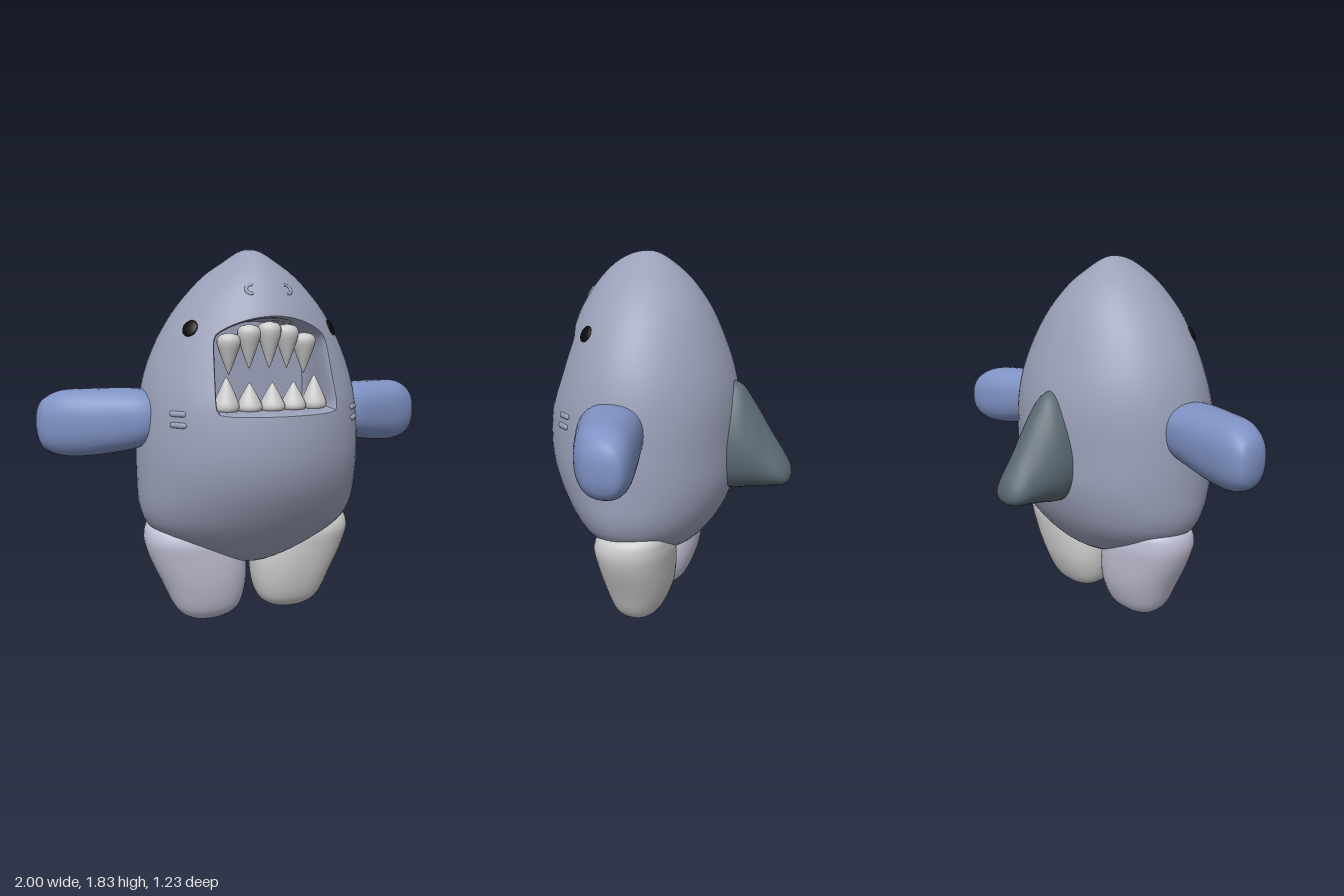
import * as THREE from 'three';
import { mergeVertices, toCreasedNormals } from 'three/addons/utils/BufferGeometryUtils.js';

const mat = (color) => new THREE.MeshStandardMaterial({ color, roughness: 0.7 });
const SKIN = mat(0x9ba1b9), BLUE = mat(0x7f92c4), DARK = mat(0x5a6873);
const GREY = mat(0xcccccc), PALE = mat(0xc4c4da), BLACK = mat(0x0a0a0a);

// Smooth interpolation of table rows at key k
function sample(table, keys, k) {
  const n = keys.length - 1;
  let i = 0;
  while (i < n - 1 && k > keys[i + 1]) i++;
  const h = keys[i + 1] - keys[i], t = THREE.MathUtils.clamp((k - keys[i]) / h, 0, 1);
  return table[i].map((_, c) => {
    const slope = (j) => {
      const a = Math.max(j - 1, 0), b = Math.min(j + 1, n);
      return (table[b][c] - table[a][c]) / (keys[b] - keys[a]);
    };
    const p = table[i][c], q = table[i + 1][c], t2 = t * t, t3 = t2 * t;
    return p * (2 * t3 - 3 * t2 + 1) + slope(i) * h * (t3 - 2 * t2 + t)
      + q * (3 * t2 - 2 * t3) + slope(i + 1) * h * (t3 - t2);
  });
}

// Joins successive closed loops of points into triangles
function skinLoops(out, loops, skip = () => false) {
  for (let j = 0; j < loops.length - 1; j++) {
    const a = loops[j], b = loops[j + 1], n = a.length;
    for (let i = 0; i < n; i++) {
      if (skip(i, j)) continue;
      const k = (i + 1) % n;
      for (const p of [a[i], a[k], b[k], a[i], b[k], b[i]]) out.push(p.x, p.y, p.z);
    }
  }
}

function toGeometry(out, crease) {
  const g = new THREE.BufferGeometry();
  g.setAttribute('position', new THREE.Float32BufferAttribute(out, 3));
  if (crease) return toCreasedNormals(g, crease);
  const merged = mergeVertices(g, 1e-5);
  merged.computeVertexNormals();
  return merged;
}

// Lofted limb. Sections are [along, centreU, centreV, radiusU, radiusV]; place maps (u, v, along) to a point
function loft(sections, place, power = 2, taper = 0) {
  const keys = sections.map((_, i) => i), loops = [], out = [];
  const steps = 6 * (sections.length - 1), sides = 36;
  for (let j = 0; j <= steps; j++) {
    const [w, cu, cv, ru, rv] = sample(sections, keys, j / 6);
    loops.push(Array.from({ length: sides }, (_, i) => {
      const a = (i / sides) * Math.PI * 2, c = Math.cos(a), s = Math.sin(a);
      const e = (x) => Math.sign(x) * Math.abs(x) ** (2 / power);
      return place(cu + Math.max(ru, 0) * e(c) * (1 - taper * s), cv + Math.max(rv, 0) * e(s), w);
    }));
  }
  skinLoops(out, loops);
  return toGeometry(out);
}

// Body profile: [half width, front z, back z] at each height
const CX = 0.012, CZ = 0.12, MID = 1.06, R = 0.77;
const heights = [0.29, 0.33, 0.4, 0.5, 0.6, 0.75, 0.9, 1.1, 1.25, 1.4, 1.54, 1.63, 1.7, 1.78, 1.83];
const profile = [
  [0, 0.12, 0.12], [0.17, 0.27, -0.04], [0.34, 0.355, -0.145], [0.5, 0.44, -0.23], [0.55, 0.51, -0.285],
  [0.56, 0.585, -0.33], [0.56, 0.615, -0.335], [0.545, 0.6, -0.335], [0.515, 0.55, -0.31], [0.455, 0.505, -0.26],
  [0.37, 0.46, -0.2], [0.295, 0.41, -0.145], [0.225, 0.36, -0.09], [0.11, 0.275, 0], [0, 0.12, 0.12],
];
const latitude = (y) => Math.acos(THREE.MathUtils.clamp((MID - y) / R, -1, 1));
const keys = heights.map(latitude);
const ringAt = (y) => sample(profile, keys, latitude(y));

function bodyPoint(theta, y) {
  const [a, zf, zb] = ringAt(y), s = Math.sin(theta);
  const front = Math.cos(theta) >= 0, n = front ? 1.87 : 2;
  const d = Math.max(0, 1 - Math.abs(s) ** n) ** (1 / n);
  return new THREE.Vector3(CX + a * s, y, CZ + d * (front ? zf - CZ : zb - CZ));
}
const thetaAt = (x, y) => Math.asin(THREE.MathUtils.clamp((x - CX) / ringAt(y)[0], -1, 1));

function bodyGeometry() {
  const cols = 64, rows = 48, half = 9, j0 = 22, j1 = 36, out = [];
  const yAt = (j) => MID - R * Math.cos((Math.PI * j) / rows);
  const thAt = (i) => ((i - cols / 2) / cols) * Math.PI * 2;
  const c = cols / 2, loops = [];
  for (let j = 0; j <= rows; j++) {
    loops.push(Array.from({ length: cols }, (_, i) => bodyPoint(thAt(i), yAt(j))));
  }
  skinLoops(out, loops, (i, j) => i >= c - half && i < c + half && j >= j0 && j < j1);

  // Window border, anticlockwise from its lower corner
  const border = [];
  for (let i = -half; i < half; i++) border.push([i, j0]);
  for (let j = j0; j < j1; j++) border.push([half, j]);
  for (let i = half; i > -half; i--) border.push([i, j1]);
  for (let j = j1; j > j0; j--) border.push([-half, j]);

  // Mouth outline: flat below, arched above, soft corners
  const mouth = border.map(([i, j]) => {
    let p = i / half, q = (2 * (j - j0)) / (j1 - j0) - 1;
    const soft = 1 - 0.05 * (p * q) ** 8;
    p *= soft; q *= soft;
    const x = 0.285 * p * (1 - 0.04 * q), top = 1.515 - 0.08 * p * p;
    return [CX + x, THREE.MathUtils.lerp(1.08, top, (q + 1) / 2)];
  });
  const rings = [0, 0.25, 0.5, 0.75, 0.92, 1].map((t) => border.map(([i, j], k) => {
    const [x, y] = mouth[k];
    return bodyPoint(THREE.MathUtils.lerp(thAt(c + i), thetaAt(x, y), t),
      THREE.MathUtils.lerp(yAt(j), y, t));
  }));
  // Lip, cavity walls and back wall: [scale, depth fraction]
  const rim = rings[rings.length - 1], BACK = 0.2;
  for (const [s, d] of [[0.975, 0.05], [0.955, 0.15], [0.94, 0.5], [0.92, 0.9], [0.88, 1], [0.5, 1], [0, 1]]) {
    rings.push(rim.map((v) => new THREE.Vector3(
      CX + (v.x - CX) * s, 1.29 + (v.y - 1.29) * s, THREE.MathUtils.lerp(v.z, BACK, d))));
  }
  skinLoops(out, rings);
  return toGeometry(out, 0.75);
}

export function createModel() {
  const model = new THREE.Group();
  const add = (name, geometry, material, parent = model) => {
    const m = new THREE.Mesh(geometry, material);
    m.name = name;
    parent.add(m);
    return m;
  };
  // Group lying on the front skin, its z axis along the surface normal
  const onBody = (name, x, y) => {
    const g = new THREE.Group(), t = thetaAt(x, y), e = 0.01;
    g.name = name;
    const du = bodyPoint(t + e, y).sub(bodyPoint(t - e, y));
    const dv = bodyPoint(t, y + e).sub(bodyPoint(t, y - e));
    g.position.copy(bodyPoint(t, y));
    g.lookAt(g.position.clone().add(du.cross(dv).normalize()));
    model.add(g);
    return g;
  };

  add('body', bodyGeometry(), SKIN);

  // Arms and legs, mirrored with slight offsets
  const arm = [[0.4, 0.12, 1.05, 0.11, 0.1], [0.48, 0.105, 1.045, 0.145, 0.125], [0.58, 0.09, 1.035, 0.155, 0.145],
    [0.75, 0.04, 1.02, 0.145, 0.158], [0.88, 0, 1.015, 0.13, 0.155], [0.96, -0.025, 1.01, 0.1, 0.12],
    [0.99, -0.035, 1.01, 0.06, 0.07], [1, -0.035, 1.01, 0, 0]];
  const leg = [[0, 0.2, 0.1, 0, 0], [0.012, 0.2, 0.1, 0.09, 0.06], [0.07, 0.2, 0.1, 0.165, 0.12],
    [0.2, 0.215, 0.095, 0.213, 0.165], [0.35, 0.255, 0.095, 0.24, 0.185], [0.45, 0.305, 0.095, 0.21, 0.185],
    [0.52, 0.345, 0.08, 0.135, 0.14], [0.545, 0.35, 0.07, 0, 0]];
  for (const side of [1, -1]) {
    const label = side > 0 ? 'left' : 'right', dz = side > 0 ? 0.03 : 0;
    // Ring direction is reversed on one side so that faces point outward
    add(label + 'Arm', loft(arm, (u, v, w) =>
      new THREE.Vector3(side * w, v, side > 0 ? 0.19 - (0.19 - u) + dz : u), 2.4), BLUE);
    add(label + 'Leg', loft(leg, (u, v, w) =>
      new THREE.Vector3(side * u + (side > 0 ? 0.04 : 0), w + (side > 0 ? 0.012 * (1 - w / 0.55) : 0), v), 2.3),
    side > 0 ? GREY : PALE);
  }

  // Back fin
  const fin = [[-0.2, 0, 0.94, 0.15, 0.28], [-0.34, 0, 0.935, 0.15, 0.27], [-0.42, 0, 0.895, 0.135, 0.215],
    [-0.5, 0, 0.835, 0.11, 0.145], [-0.57, 0, 0.785, 0.09, 0.085], [-0.605, 0, 0.765, 0.055, 0.045],
    [-0.617, 0, 0.76, 0, 0]];
  add('backFin', loft(fin, (u, v, w) => new THREE.Vector3(u, v, w), 2, 0.3), DARK);

  // Outward winding for the lofts whose axes form a left-handed frame
  model.children.forEach((m) => {
    if (!['leftArm', 'leftLeg', 'backFin'].includes(m.name)) return;
    const idx = m.geometry.index;
    for (let i = 0; i < idx.count; i += 3) {
      const a = idx.getX(i);
      idx.setX(i, idx.getX(i + 1));
      idx.setX(i + 1, a);
    }
    m.geometry.computeVertexNormals();
  });

  // Teeth: pointed cones with rounded roots
  const tooth = (r, h) => new THREE.LatheGeometry(new THREE.SplineCurve([
    [0, -0.3 * r], [0.75 * r, -0.1 * r], [r, 0.15 * h], [0.65 * r, 0.5 * h], [0.28 * r, 0.8 * h], [0, h],
  ].map(([x, y]) => new THREE.Vector2(x, y))).getPoints(20).map((p) => p.setX(Math.max(p.x, 0))), 20);
  for (let i = -2; i <= 2; i++) {
    const edge = Math.abs(i), x = 0.015 + i * 0.093;
    const upper = add('upperTooth', tooth(0.055, 0.2 - 0.012 * edge), GREY);
    upper.position.set(x, 1.475 - 0.013 * edge * edge, 0.39 - 0.015 * edge);
    upper.rotation.x = Math.PI;
    const lower = add('lowerTooth', tooth(0.06, edge === 2 ? 0.16 : 0.13), GREY);
    lower.position.set(0.015 + i * 0.108, 1.09, 0.43 - 0.008 * edge);
  }

  // Eyes, nostrils and gills set on the skin
  for (const side of [1, -1]) {
    const label = side > 0 ? 'left' : 'right';
    const eye = add(label + 'Eye', new THREE.SphereGeometry(0.04, 24, 16), BLACK,
      onBody(label + 'EyeSocket', CX + side * 0.35, 1.46));
    eye.scale.z = 0.3;
    const nostril = add(label + 'Nostril', new THREE.TorusGeometry(0.024, 0.008, 10, 20, Math.PI * 1.2), SKIN,
      onBody(label + 'NostrilSpot', CX + side * 0.085, 1.635));
    nostril.rotation.z = side > 0 ? -Math.PI * 0.6 : Math.PI * 0.4;
    nostril.scale.z = 0.7;
    for (const y of [1.035, 1.085]) {
      const gill = add(label + 'Gill', new THREE.CapsuleGeometry(0.013, 0.06, 6, 12), SKIN,
        onBody(label + 'GillSpot', CX + side * 0.435, y));
      gill.rotation.z = Math.PI / 2;
      gill.scale.z = 0.7;
    }
  }
  return model;
}
